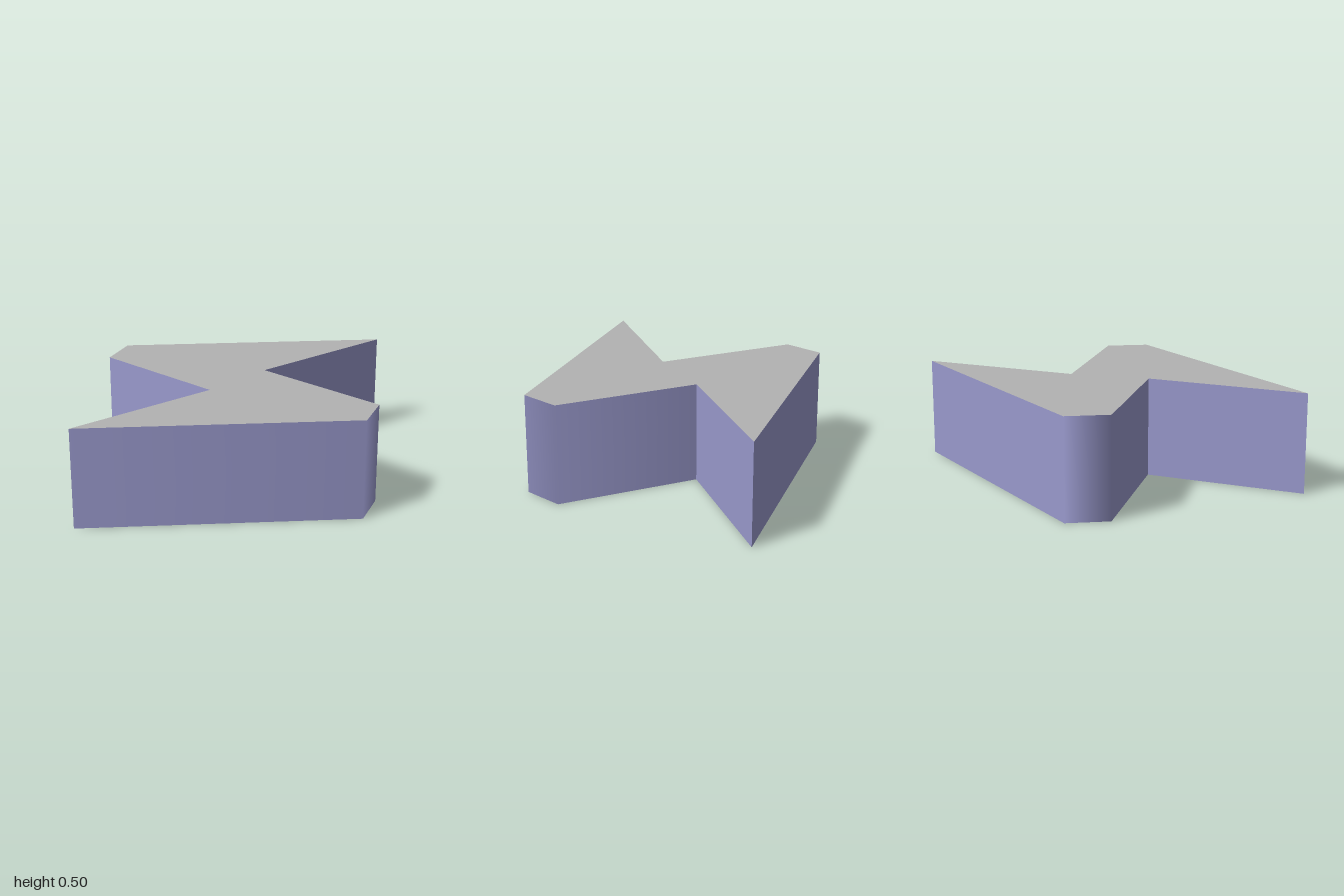
import * as THREE from 'three';

const HEIGHT = 0.5;
// One half of the bolt outline as [x, z]; the other half is its half turn.
const HALF = [[-0.11, 1], [0.81, 0], [0.73, -0.2], [0, -0.2]];
const TIP = [0.11, -1];

// Upright wall along a path, with smooth normals weighted by edge length.
function wall(path) {
  const normals = path.map(() => new THREE.Vector3());
  for (let i = 0; i < path.length - 1; i++) {
    const [a, b] = [path[i], path[i + 1]];
    const out = new THREE.Vector3(a[1] - b[1], 0, b[0] - a[0]);
    normals[i].add(out);
    normals[i + 1].add(out);
  }
  const pos = [], nor = [], index = [];
  path.forEach(([x, z], i) => {
    const n = normals[i].normalize();
    for (const y of [0, HEIGHT]) {
      pos.push(x, y, z);
      nor.push(n.x, n.y, n.z);
    }
    if (i > 0) {
      const a = 2 * i - 2, b = 2 * i;
      index.push(a, b, b + 1, a, b + 1, a + 1);
    }
  });
  const g = new THREE.BufferGeometry();
  g.setAttribute('position', new THREE.Float32BufferAttribute(pos, 3));
  g.setAttribute('normal', new THREE.Float32BufferAttribute(nor, 3));
  g.setIndex(index);
  return g;
}

// Flat cap facing up (side = 1) or down (side = -1).
function cap(side) {
  const outline = [...HALF, ...HALF.map(([x, z]) => [-x, -z])];
  const shape = new THREE.Shape(outline.map(([x, z]) => new THREE.Vector2(x, -side * z)));
  return new THREE.ShapeGeometry(shape).rotateX(-side * Math.PI / 2);
}

export function createModel() {
  const model = new THREE.Group();
  model.name = 'lightningBolt';
  const capGrey = new THREE.MeshStandardMaterial({ name: 'capGrey', color: 0xb2b2b2 });
  const sideLavender = new THREE.MeshStandardMaterial({ name: 'sideLavender', color: 0x9999cc });

  const add = (name, geometry, material) => {
    const mesh = new THREE.Mesh(geometry, material);
    mesh.name = name;
    model.add(mesh);
    return mesh;
  };

  // Caps
  add('topFace', cap(1), capGrey).position.y = HEIGHT;
  add('bottomFace', cap(-1), capGrey);

  // Walls: a smooth outer run and a flat notch face, repeated by a half turn
  for (const [label, turn] of [['front', 0], ['back', Math.PI]]) {
    add(label + 'OuterWall', wall(HALF), sideLavender).rotation.y = turn;
    add(label + 'NotchWall', wall([HALF[3], TIP]), sideLavender).rotation.y = turn;
  }
  return model;
}
